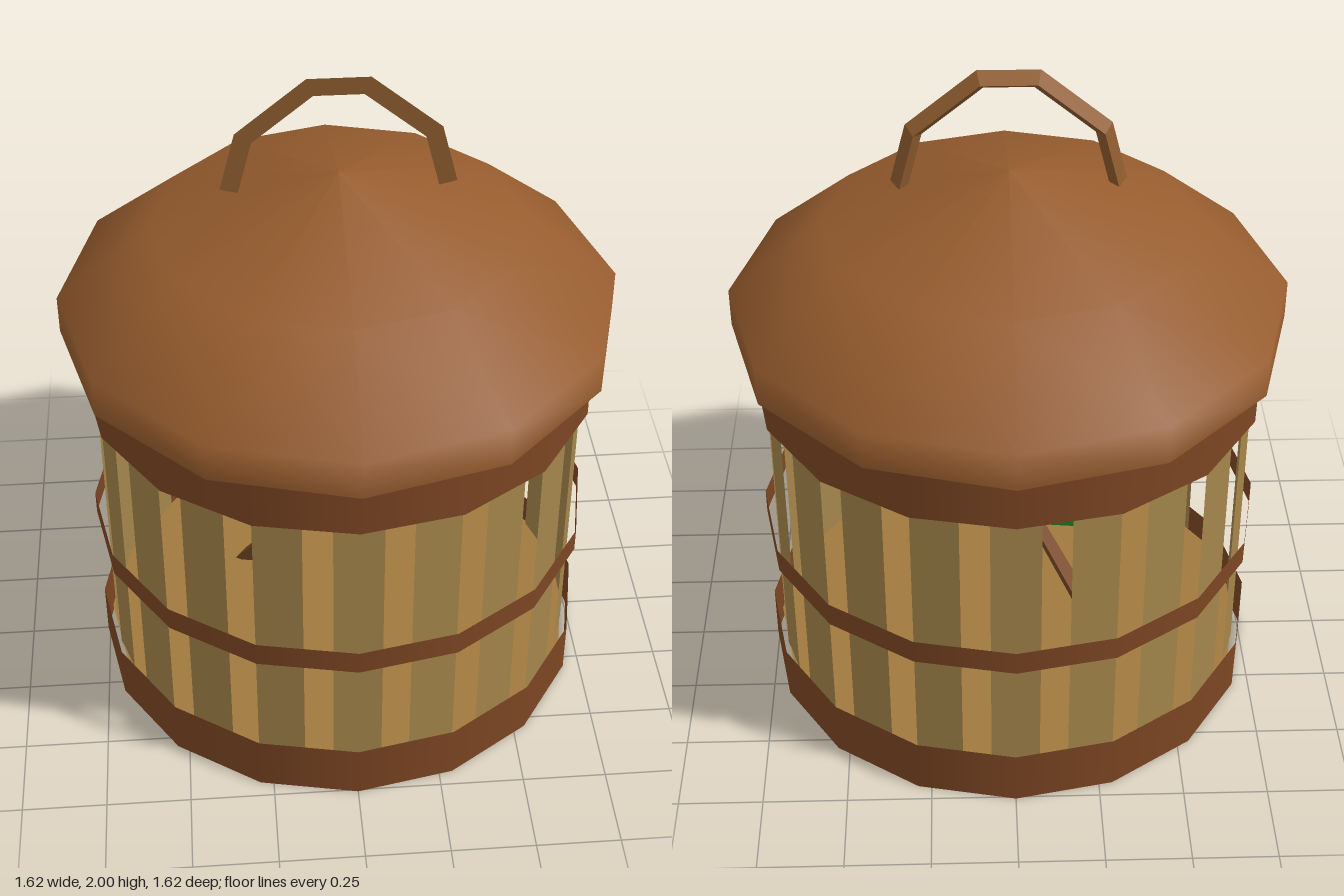
import * as THREE from 'three';

const mat = (color, flatShading = false) =>
  new THREE.MeshStandardMaterial({ color, flatShading, side: THREE.DoubleSide });

const V = (x, y, z) => new THREE.Vector3(x, y, z);

// Triangular bar swept along a polyline, mitred at each bend
function triangularBar(points, radii) {
  const pos = [], index = [];
  points.forEach((p, i) => {
    const before = p.clone().sub(points[Math.max(i - 1, 0)]).normalize();
    const after = points[Math.min(i + 1, points.length - 1)].clone().sub(p).normalize();
    const tangent = before.clone().add(after).normalize();
    const side = V(0, 0, 1).cross(tangent).normalize();
    const depth = tangent.clone().cross(side).normalize();
    const bend = before.lengthSq() && after.lengthSq() ? 1 / tangent.dot(after) : 1;
    for (let k = 0; k < 3; k++) {
      const a = Math.PI + (k * 2 * Math.PI) / 3;
      const q = p.clone()
        .addScaledVector(depth, Math.cos(a) * radii[i])
        .addScaledVector(side, Math.sin(a) * radii[i] * bend);
      pos.push(q.x, q.y, q.z);
      if (i < points.length - 1) {
        const m = i * 3 + k, n = i * 3 + ((k + 1) % 3);
        index.push(m, n, m + 3, n, n + 3, m + 3);
      }
    }
  });
  const last = (points.length - 1) * 3;
  index.push(0, 2, 1, last, last + 1, last + 2);
  const g = new THREE.BufferGeometry();
  g.setAttribute('position', new THREE.Float32BufferAttribute(pos, 3));
  g.setIndex(index);
  g.computeVertexNormals();
  return g;
}

// Four-cornered leaf: base, one side, tip, other side
function leafGeometry(...corners) {
  const g = new THREE.BufferGeometry().setFromPoints(corners);
  g.setIndex([0, 1, 2, 0, 2, 3]);
  g.computeVertexNormals();
  return g;
}

export function createModel() {
  const group = new THREE.Group();
  const wood = mat(0x7d4623), roofWood = mat(0x965c2e);
  const barWood = mat(0x8f5c2f, true), stickWood = mat(0x7a4a26, true);
  const slatWood = mat(0xa5864b), floorWood = mat(0xa07a3e), green = mat(0x22a02e);

  const add = (name, geometry, material, parent = group) => {
    const mesh = new THREE.Mesh(geometry, material);
    mesh.name = name;
    parent.add(mesh);
    return mesh;
  };

  // Open hoops: base, middle band, top
  for (const [name, low, high] of [
    ['baseHoop', 0, 0.172], ['middleHoop', 0.505, 0.58], ['topHoop', 1.03, 1.205],
  ]) {
    const hoop = new THREE.CylinderGeometry(0.757, 0.757, high - low, 16, 1, true);
    add(name, hoop, wood).position.y = (low + high) / 2;
  }

  // Floor disc
  const floor = new THREE.CircleGeometry(0.735, 16).rotateX(-Math.PI / 2);
  add('floor', floor, floorWood).position.y = 0.1;

  // Flat slats around the wall
  const slats = new THREE.Group();
  slats.name = 'slats';
  group.add(slats);
  const slat = new THREE.PlaneGeometry(0.142, 1.11).translate(0, 0.645, 0.72);
  for (let i = 0; i < 20; i++) add('slat', slat, slatWood, slats).rotation.y = (i * Math.PI) / 10;

  // Twelve-sided roof with a short skirt
  const profile = [[0.812, 1.203], [0.812, 1.318], [0.537, 1.545], [0, 1.7]];
  add('roof', new THREE.LatheGeometry(profile.map((p) => new THREE.Vector2(...p)), 12), roofWood);

  // Carrying handle
  const half = [[-0.307, 1.661], [-0.264, 1.826], [-0.079, 1.976]];
  const arch = [...half, ...half.slice().reverse().map(([x, y]) => [-x, y])];
  add('handle', triangularBar(arch.map(([x, y]) => V(x, y, -0.002)), arch.map(() => 0.03)), barWood);

  // Leaning perch with two leaves
  add('perch', triangularBar([V(-0.3, 0.1, -0.2), V(0.11, 0.78, 0.12)], [0.034, 0.018]), stickWood);
  add('upperLeaf', leafGeometry(
    V(0.1, 0.77, 0.12), V(0.25, 0.895, 0.305), V(0.37, 1.04, 0.25), V(0.15, 0.87, 0.04)), green);
  add('lowerLeaf', leafGeometry(
    V(-0.12, 0.46, -0.04), V(-0.22, 0.65, -0.13), V(-0.4, 0.68, -0.18), V(-0.29, 0.46, -0.06)), green);

  return group;
}
